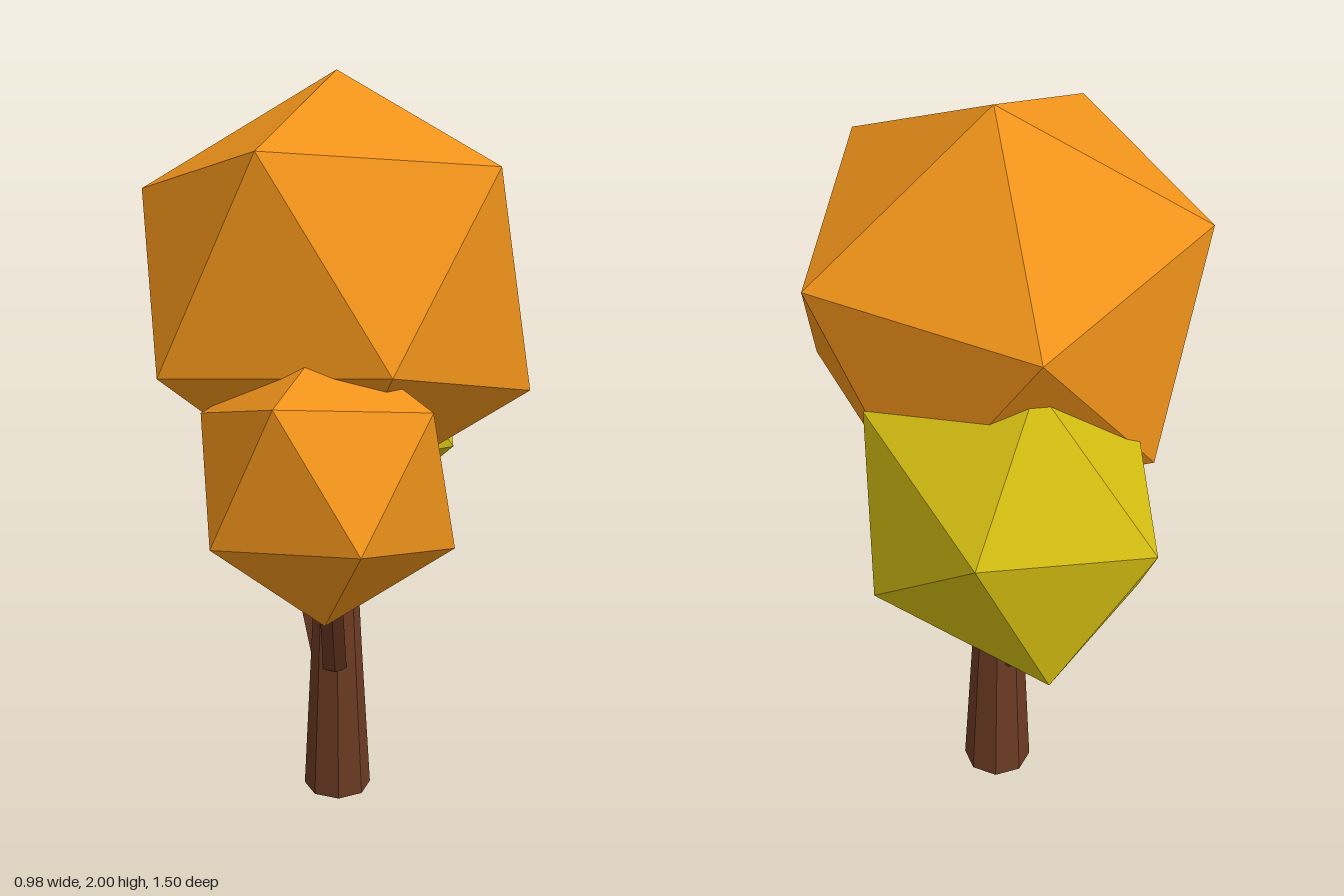
import * as THREE from 'three';
import { ConvexGeometry } from 'three/addons/geometries/ConvexGeometry.js';

const material = (color) => new THREE.MeshStandardMaterial({ color, flatShading: true });

// Faceted limb: a cylinder whose rings are moved to stations of [x, y, z, radius]
function limb(name, sides, stations, mat) {
  const last = stations.length - 1;
  const base = new THREE.CylinderGeometry(1, 1, 1, sides, last);
  const pos = base.attributes.position;
  for (let i = 0; i < pos.count; i++) {
    const [x, y, z, r] = stations[Math.round((pos.getY(i) + 0.5) * last)];
    pos.setXYZ(i, x + pos.getX(i) * r, y, z + pos.getZ(i) * r);
  }
  const geometry = base.toNonIndexed();
  geometry.computeVertexNormals();
  const mesh = new THREE.Mesh(geometry, mat);
  mesh.name = name;
  return mesh;
}

// Twenty-sided leaf clump: six corners about the centre, mirrored through it
function clump(name, center, corners, mat) {
  const half = corners.map((c) => new THREE.Vector3(...c));
  const points = [...half, ...half.map((p) => p.clone().negate())];
  const mesh = new THREE.Mesh(new ConvexGeometry(points), mat);
  mesh.position.set(...center);
  mesh.name = name;
  return mesh;
}

export function createModel() {
  const bark = material(0x6b3a22);
  const orange = material(0xf0931a);
  const yellow = material(0xd0ba10);
  const tree = new THREE.Group();
  tree.name = 'autumnTree';

  // Trunk and its two bent branches
  tree.add(
    limb('trunk', 8, [[0.01, 0, -0.095, 0.095], [0.007, 0.42, -0.08, 0.072], [0.005, 1.15, -0.095, 0.035]], bark),
    limb('frontBranch', 6, [[0, 0.4, -0.04, 0.038], [-0.015, 0.66, 0.155, 0.035], [-0.025, 0.85, 0.18, 0.03]], bark),
    limb('backBranch', 6, [[-0.025, 0.38, -0.11, 0.038], [-0.09, 0.66, -0.24, 0.035], [-0.105, 0.86, -0.29, 0.03]], bark)
  );

  // Foliage
  tree.add(
    clump('topFoliage', [0, 1.47, -0.017], [
      [0.01, 0.53, -0.163], [-0.19, 0.38, 0.365], [0.38, 0.33, 0.237],
      [0.11, -0.097, 0.537], [0.49, -0.24, 0.118], [0.43, 0.15, -0.318],
    ], orange),
    clump('frontFoliage', [-0.03, 1.083, 0.358], [
      [0.06, -0.043, 0.392], [-0.125, 0.257, 0.287], [0.23, 0.217, 0.182],
      [0.30, -0.15, 0.068], [-0.01, -0.333, 0.10], [-0.27, -0.083, 0.232],
    ], orange),
    clump('backFoliage', [-0.025, 1.087, -0.355], [
      [0.305, -0.167, -0.165], [0.05, 0.088, -0.397], [0.33, 0.243, -0.005],
      [0.345, -0.057, 0.285], [0.07, -0.372, 0.095], [-0.113, -0.287, -0.327],
    ], yellow)
  );
  return tree;
}
